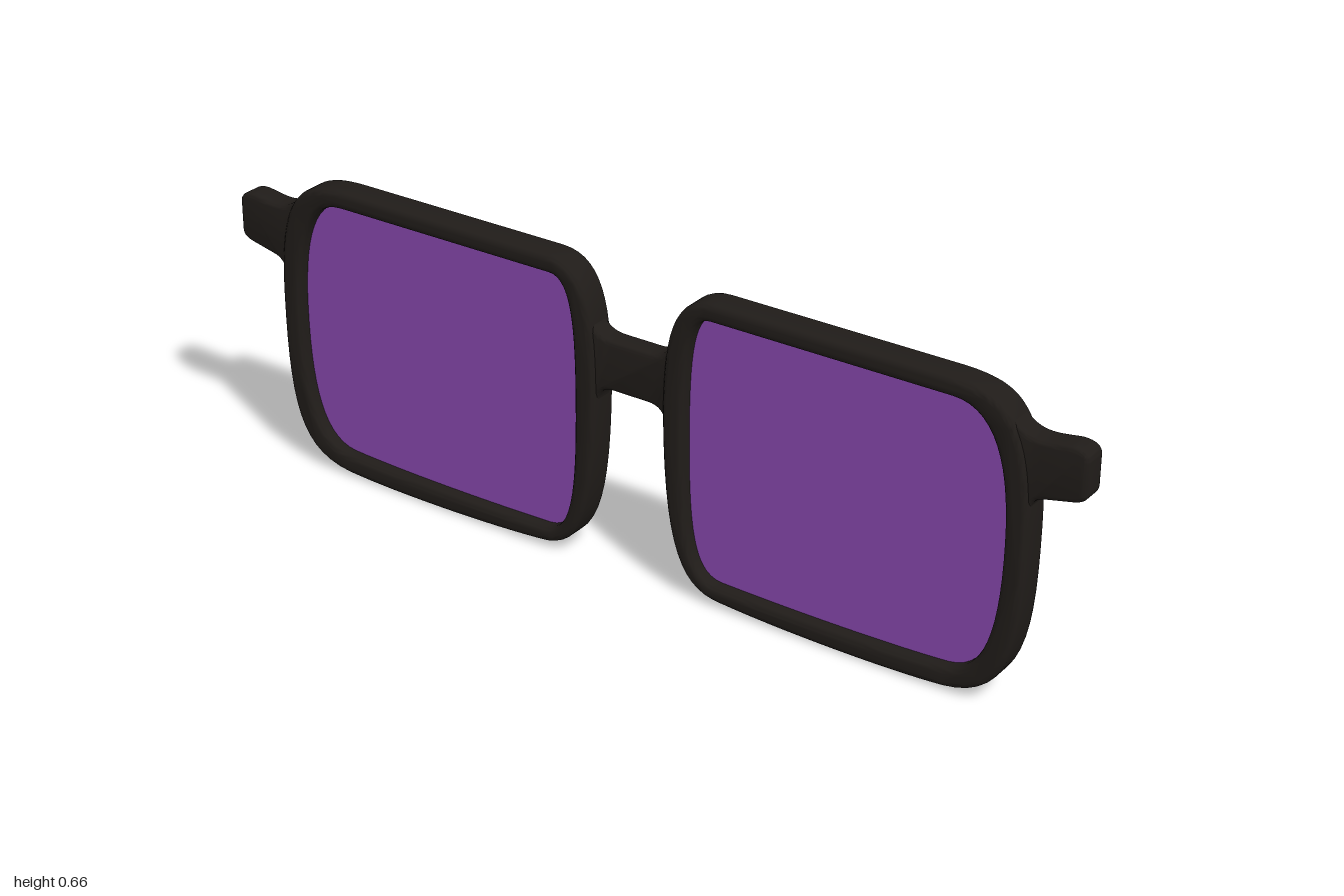
import * as THREE from 'three';
import { mergeVertices, toCreasedNormals } from 'three/addons/utils/BufferGeometryUtils.js';

const frameMat = new THREE.MeshStandardMaterial({ color: 0x201c19 });
const lensMat = new THREE.MeshStandardMaterial({ color: 0x8647ab });

// Closed outline: a start point, then lines (2 numbers) or Bezier curves (6 numbers)
function outline(start, steps) {
  const s = new THREE.Shape();
  s.moveTo(...start);
  for (const p of steps) p.length === 2 ? s.lineTo(...p) : s.bezierCurveTo(...p);
  s.closePath();
  return s;
}

// Extrusion centred on z = 0 with rounded edges that stay inside the outline
function slab(shape, halfDepth, bevel) {
  const geo = new THREE.ExtrudeGeometry(shape, {
    depth: 2 * (halfDepth - bevel), bevelEnabled: bevel > 0, bevelThickness: bevel,
    bevelSize: bevel, bevelOffset: -bevel, bevelSegments: 3, curveSegments: 14,
  });
  geo.translate(0, 0, -(halfDepth - bevel));
  geo.deleteAttribute('uv');
  geo.deleteAttribute('normal');
  return toCreasedNormals(mergeVertices(geo, 1e-5), 0.7);
}

// Mirror a geometry in x, keeping the faces outward
function mirrorX(geo) {
  const g = geo.clone();
  for (const name of ['position', 'normal']) {
    const a = g.attributes[name].array;
    for (let i = 0; i < a.length; i += 3) a[i] = -a[i];
    for (let i = 0; i < a.length; i += 9) {
      for (let k = 3; k < 6; k++) [a[i + k], a[i + k + 3]] = [a[i + k + 3], a[i + k]];
    }
  }
  return g;
}

// Lens opening, widened all round by g
function opening(g) {
  return outline([0.19, 0.624 + g], [
    [0.72, 0.624 + g],
    [0.81 + g, 0.624 + g, 0.843 + g, 0.52, 0.843 + g, 0.36],
    [0.843 + g, 0.17, 0.815 + g, 0.062 - g, 0.73, 0.053 - g],
    [0.6, 0.043 - g, 0.36, 0.043 - g, 0.21, 0.048 - g],
    [0.145 - g, 0.052 - g, 0.13 - g, 0.14, 0.13 - g, 0.37],
    [0.13 - g, 0.53, 0.14 - g, 0.624 + g, 0.19, 0.624 + g],
  ]);
}

export function createModel() {
  const group = new THREE.Group();
  const add = (name, geo, mat) => {
    const m = new THREE.Mesh(geo, mat);
    m.name = name;
    group.add(m);
  };

  // Rim: rounded outline, with the opening wound the other way round
  const rimShape = outline([0.2, 0.662], [
    [0.7, 0.662],
    [0.79, 0.662, 0.825, 0.645, 0.852, 0.6],
    [0.88, 0.55, 0.889, 0.48, 0.889, 0.38],
    [0.889, 0.14, 0.87, 0.025, 0.73, 0.01],
    [0.62, 0, 0.38, 0, 0.22, 0.014],
    [0.13, 0.02, 0.085, 0.09, 0.081, 0.4],
    [0.083, 0.56, 0.1, 0.662, 0.2, 0.662],
  ]);
  rimShape.holes.push(new THREE.Path(opening(0).getPoints(14).reverse()));
  const rim = slab(rimShape, 0.036, 0.012);

  // Lens: thin pane seated in the rim
  const lens = slab(opening(0.008), 0.008, 0);

  // Hinge tab: flares into the rim and widens to a rounded end
  const tab = slab(outline([0.846, 0.61], [
    [0.846, 0.42],
    [0.884, 0.42],
    [0.885, 0.462, 0.9, 0.467, 0.925, 0.472],
    [0.97, 0.482],
    [0.99, 0.486, 1, 0.493, 1, 0.508],
    [1, 0.57],
    [1, 0.587, 0.985, 0.595, 0.96, 0.594],
    [0.915, 0.588, 0.88, 0.576, 0.846, 0.61],
  ]), 0.028, 0.009);

  for (const [side, place] of [['left', (g) => g], ['right', mirrorX]]) {
    add(side + 'Rim', place(rim), frameMat);
    add(side + 'Lens', place(lens), lensMat);
    add(side + 'HingeTab', place(tab), frameMat);
  }

  // Nose bridge with flared ends
  add('bridge', slab(outline([-0.112, 0.545], [
    [-0.112, 0.36],
    [-0.084, 0.36],
    [-0.08, 0.395, -0.065, 0.405, -0.04, 0.405],
    [0.04, 0.405],
    [0.065, 0.405, 0.08, 0.395, 0.084, 0.36],
    [0.112, 0.36],
    [0.112, 0.545],
    [0.096, 0.545],
    [0.084, 0.52, 0.065, 0.513, 0.04, 0.513],
    [-0.04, 0.513],
    [-0.065, 0.513, -0.084, 0.52, -0.096, 0.545],
  ]), 0.026, 0.009), frameMat);

  return group;
}
